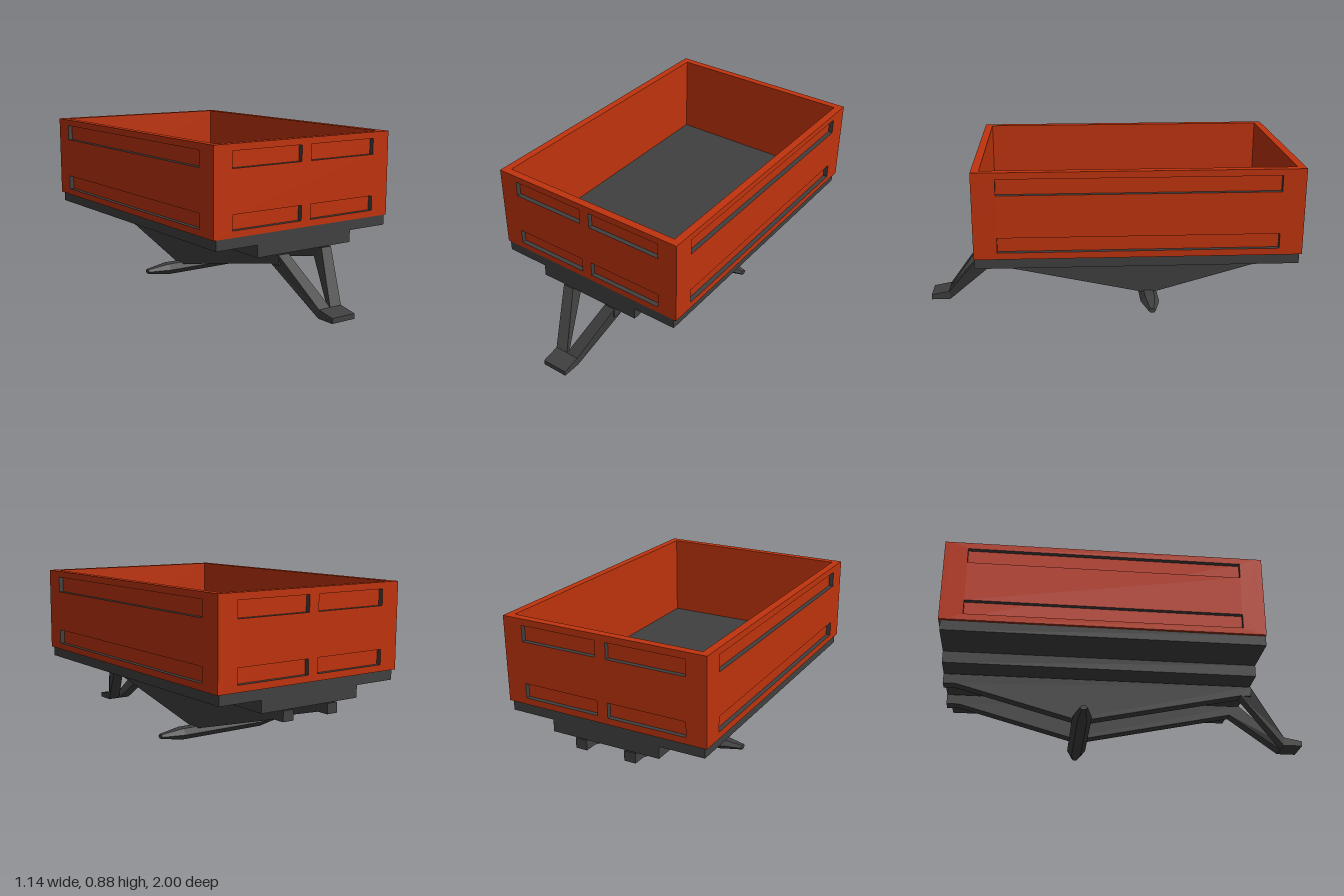
import * as THREE from 'three';

const red = new THREE.MeshStandardMaterial({ color: 0xbf330d });
red.name = 'red paint';
const grey = new THREE.MeshStandardMaterial({ color: 0x404040 });
grey.name = 'dark grey steel';

const V = (x, y) => new THREE.Vector2(x, y);

function add(parent, name, geometry, material, x = 0, y = 0, z = 0) {
  const mesh = new THREE.Mesh(geometry, material);
  mesh.name = name;
  mesh.position.set(x, y, z);
  parent.add(mesh);
  return mesh;
}

function box(parent, name, material, x0, x1, y0, y1, z0, z1) {
  return add(parent, name, new THREE.BoxGeometry(x1 - x0, y1 - y0, z1 - z0), material,
    (x0 + x1) / 2, (y0 + y1) / 2, (z0 + z1) / 2);
}

const rect = (x0, x1, y0, y1) => [V(x0, y0), V(x1, y0), V(x1, y1), V(x0, y1)];

// Outer skin of a wall with rectangular slots; slot edges are grey
function slottedSkin(width, y0, y1, depth, slots) {
  const shape = new THREE.Shape(rect(-width / 2, width / 2, y0, y1));
  for (const [a, b] of slots) {
    for (const [c, d] of [[0.46, 0.54], [0.765, 0.85]]) {
      shape.holes.push(new THREE.Path(rect(a, b, c, d).reverse()));
    }
  }
  const geo = new THREE.ExtrudeGeometry(shape, { depth, bevelEnabled: false });
  const split = geo.groups[0].count + 24; // lids plus the four outer edges
  geo.clearGroups();
  geo.addGroup(0, split, 0);
  geo.addGroup(split, geo.attributes.position.count - split, 1);
  return geo;
}

// Profile in (z, y) extruded across x from x0 to x1
function sideProfile(points, x0, x1) {
  const shape = new THREE.Shape(points.map(([z, y]) => V(-z, y)));
  const geo = new THREE.ExtrudeGeometry(shape, { depth: x1 - x0, bevelEnabled: false });
  return geo.rotateY(Math.PI / 2).translate(x0, 0, 0);
}

// Solid between two four-sided sections, each listed counterclockwise seen from +z
function loft(front, back) {
  const c = [...front, ...back];
  const quads = [[0, 1, 2, 3], [5, 4, 7, 6]];
  for (let i = 0; i < 4; i++) {
    const j = (i + 1) % 4;
    quads.push([i, i + 4, j + 4, j]);
  }
  const pos = quads.flatMap(([a, b, d, e]) => [a, b, d, a, d, e].flatMap((k) => c[k]));
  const geo = new THREE.BufferGeometry();
  geo.setAttribute('position', new THREE.Float32BufferAttribute(pos, 3));
  geo.computeVertexNormals();
  return geo;
}

export function createModel() {
  const model = new THREE.Group();
  model.name = 'trailer';

  // Cargo box
  const cargo = new THREE.Group();
  cargo.name = 'cargoBox';
  model.add(cargo);
  const W = 0.57, ZB = -1, ZF = 0.7, Y0 = 0.425, Y1 = 0.885;
  const skin = 0.025, wall = 0.042, zMid = (ZF + ZB) / 2;

  box(cargo, 'frontInnerWall', red, -W + skin, W - skin, Y0, Y1, ZF - wall, ZF - skin);
  box(cargo, 'backInnerWall', red, -W + skin, W - skin, Y0, Y1, ZB + skin, ZB + wall);
  const endSkin = slottedSkin(2 * W, Y0, Y1, skin, [[-0.46, -0.03], [0.03, 0.46]]);
  add(cargo, 'frontOuterWall', endSkin, [red, grey], 0, 0, ZF - skin);
  add(cargo, 'backOuterWall', endSkin, [red, grey], 0, 0, ZB + skin).rotation.y = Math.PI;

  const sideSkin = slottedSkin(ZF - ZB - 2 * skin, Y0, Y1, skin, [[-0.728, 0.728]]);
  for (const s of [-1, 1]) {
    const side = s > 0 ? 'left' : 'right';
    const xs = [s * (W - wall), s * (W - skin)].sort((a, b) => a - b);
    box(cargo, side + 'InnerWall', red, xs[0], xs[1], Y0, Y1, ZB + wall, ZF - wall);
    add(cargo, side + 'OuterWall', sideSkin, [red, grey], s * (W - skin), 0, zMid)
      .rotation.y = s * Math.PI / 2;
  }

  // Deck and chassis
  box(model, 'deck', grey, -0.555, 0.555, 0.37, 0.426, -0.99, 0.699);
  box(model, 'chassis', grey, -0.308, 0.308, 0.305, 0.37, -0.99, 0.699);

  // Axle rails and drawbar arms
  const rail = [[0.7, 0.3], [0.7, 0.245], [0.64, 0.245], [-0.2, 0.066], [-0.28, 0.066],
    [-0.92, 0.245], [-0.99, 0.245], [-0.99, 0.3]];
  for (const s of [-1, 1]) {
    const side = s > 0 ? 'left' : 'right';
    const [a, b] = s > 0 ? [0.11, 0.175] : [-0.175, -0.11];
    const [c, d] = s > 0 ? [0, 0.073] : [-0.073, 0];
    add(model, side + 'Rail', sideProfile(rail, a, b), grey);
    add(model, side + 'DrawbarArm', loft(
      [[c, 0, 0.895], [d, 0, 0.895], [d, 0.047, 0.9], [c, 0.047, 0.9]],
      [[a, 0.245, 0.64], [b, 0.245, 0.64], [b, 0.3, 0.7], [a, 0.3, 0.7]]), grey);
  }

  // Hitch plate
  add(model, 'hitchPlate',
    sideProfile([[0.9, 0.047], [0.895, 0], [1, 0], [1, 0.028]], -0.073, 0.073), grey);

  // Six-sided axle with tapered ends
  const axle = new THREE.Group();
  axle.name = 'axle';
  axle.position.set(0, 0.044, -0.242);
  model.add(axle);
  const axleMat = grey;
  const hex = (r0, r1, len) => new THREE.CylinderGeometry(r0, r1, len, 6).toNonIndexed();
  const place = (name, geo, x, turn) => {
    geo.rotateY(Math.PI / 6 + Math.PI / 3).rotateZ(turn).scale(1, 0.81, 1.22);
    geo.computeVertexNormals();
    // Turn the hexagon so that its flats face up and down
    add(axle, name, geo, axleMat, x, 0, 0);
  };
  const flat = (geo) => geo.rotateY(-Math.PI / 2);
  place('axleBar', flat(hex(0.0425, 0.0425, 0.53)), 0, Math.PI / 2);
  place('leftStub', flat(hex(0.017, 0.0425, 0.13)), 0.33, -Math.PI / 2);
  place('rightStub', flat(hex(0.017, 0.0425, 0.13)), -0.33, Math.PI / 2);
  return model;
}
